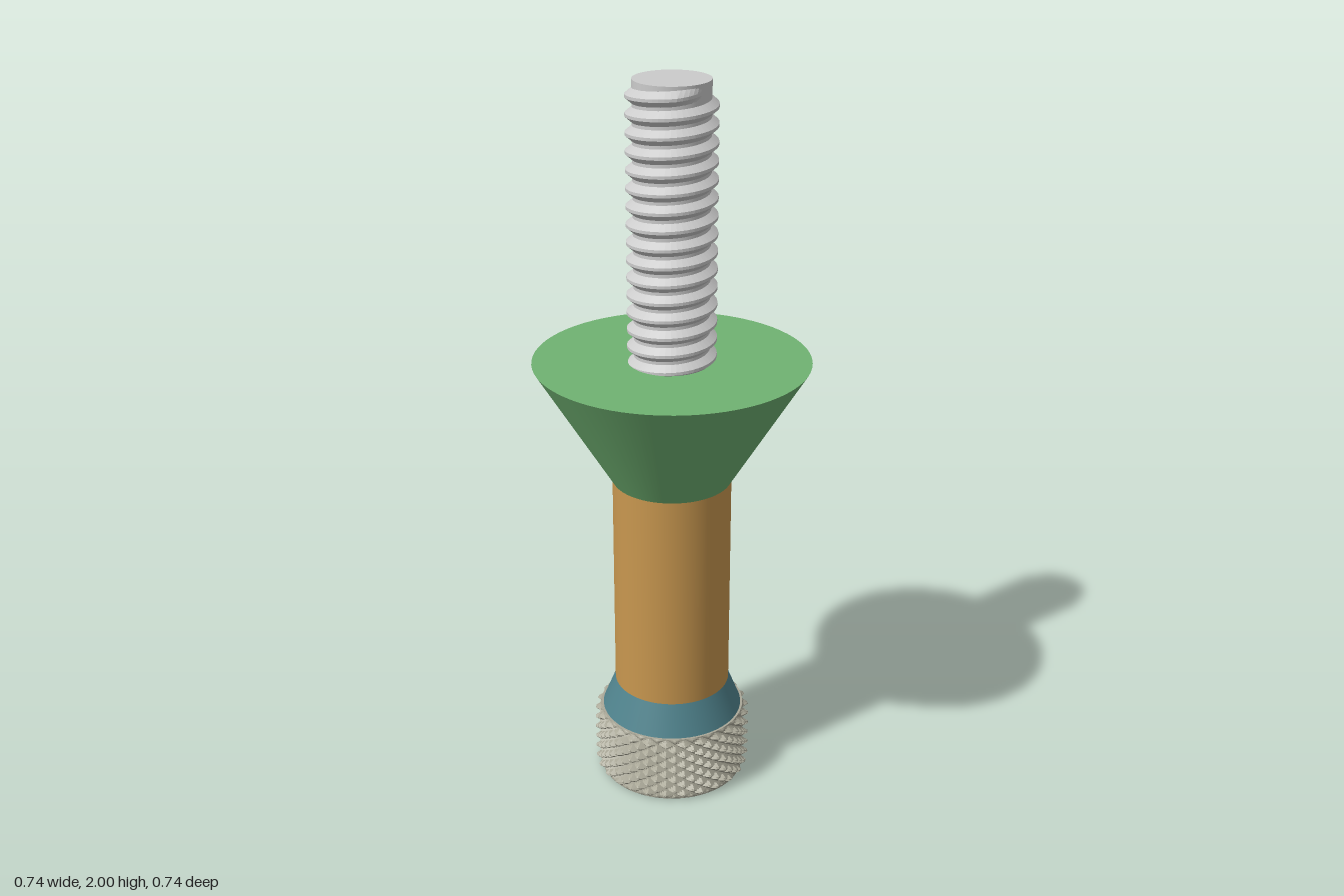
import * as THREE from 'three';

const material = (color, flatShading = false) => new THREE.MeshStandardMaterial({ color, flatShading });

// Indexed surface over a rows x cols grid of points; point(row, col) -> [x, y, z]
function gridGeometry(rows, cols, point) {
  const positions = [], indices = [];
  for (let r = 0; r <= rows; r++) {
    for (let c = 0; c <= cols; c++) {
      positions.push(...point(r, c));
      if (r < rows && c < cols) {
        const a = r * (cols + 1) + c, b = a + 1, d = a + cols + 1, e = d + 1;
        indices.push(a, b, d, b, e, d);
      }
    }
  }
  const geometry = new THREE.BufferGeometry();
  geometry.setAttribute('position', new THREE.Float32BufferAttribute(positions, 3));
  geometry.setIndex(indices);
  geometry.computeVertexNormals();
  return geometry;
}

// Diamond knurl: the radius follows the lower of two opposed helical waves
function knurlGeometry(height, root, crest, around, stacked) {
  const rows = stacked * 8, cols = around * 8, chamfer = 0.02;
  const wave = t => 1 - Math.abs(2 * (t - Math.floor(t)) - 1);
  return gridGeometry(rows, cols, (r, c) => {
    const u = c / 8, v = r / 8, y = height * r / rows;
    const edge = Math.min(1, Math.min(y, height - y) / chamfer);
    const bump = Math.min(1, 1.3 * Math.min(wave(u + v), wave(u - v)));
    const radius = root + (crest - root) * bump * edge;
    const a = (c / cols) * Math.PI * 2;
    return [radius * Math.sin(a), y, radius * Math.cos(a)];
  });
}

// Right-handed helical ridge with a trapezoid section, ending at the front
function threadGeometry(bottom, top, pitch, root, crest) {
  const steps = 48, rows = Math.round(((top - bottom) / pitch) * steps);
  const base = root - 0.002;
  const section = [[base, 0.021], [crest, 0.004], [crest, -0.004], [base, -0.021]];
  return gridGeometry(rows, 3, (r, c) => {
    const a = ((r - rows) / steps) * Math.PI * 2;
    const fade = Math.min(1, (rows - r) / 6);
    const radius = base + (section[c][0] - base) * fade;
    const y = bottom + (top - bottom) * r / rows + section[c][1];
    return [radius * Math.sin(a), y, radius * Math.cos(a)];
  });
}

export function createModel() {
  const group = new THREE.Group();
  const add = (name, geometry, mat, y = 0) => {
    const mesh = new THREE.Mesh(geometry, mat);
    mesh.name = name;
    mesh.position.y = y;
    group.add(mesh);
  };
  const frustum = (name, y0, y1, r0, r1, color) =>
    add(name, new THREE.CylinderGeometry(r1, r0, y1 - y0, 72), material(color), (y0 + y1) / 2);

  const steel = 0xcccccc, knurlColor = 0xaaa898;

  // Knurled head, its end faces and the small centre hole beneath
  add('knurledGrip', knurlGeometry(0.2, 0.204, 0.222, 26, 6), material(knurlColor, true));
  const headTop = new THREE.CircleGeometry(0.204, 72).rotateX(-Math.PI / 2);
  add('headTop', headTop, material(knurlColor), 0.2);
  const headBottom = new THREE.RingGeometry(0.038, 0.204, 72).rotateX(Math.PI / 2);
  add('headBottom', headBottom, material(knurlColor));
  const holeMaterial = material(steel);
  holeMaterial.side = THREE.BackSide;
  add('centreHole', new THREE.CylinderGeometry(0.038, 0.038, 0.05, 32, 1, true), holeMaterial, 0.025);
  add('centreHoleEnd', new THREE.CircleGeometry(0.038, 32).rotateX(Math.PI / 2), material(steel), 0.05);

  // Collar, shank and flared seat
  frustum('collar', 0.2, 0.29, 0.198, 0.162, 0x4f828c);
  frustum('shank', 0.29, 0.917, 0.162, 0.162, 0xc8974f);
  frustum('flaredSeat', 0.917, 1.26, 0.162, 0.37, 0x70b272);

  // Threaded stud
  frustum('studCore', 1.25, 2, 0.1, 0.1, steel);
  add('studThread', threadGeometry(1.24, 1.977, 0.047, 0.1, 0.118), material(steel, true));
  return group;
}
